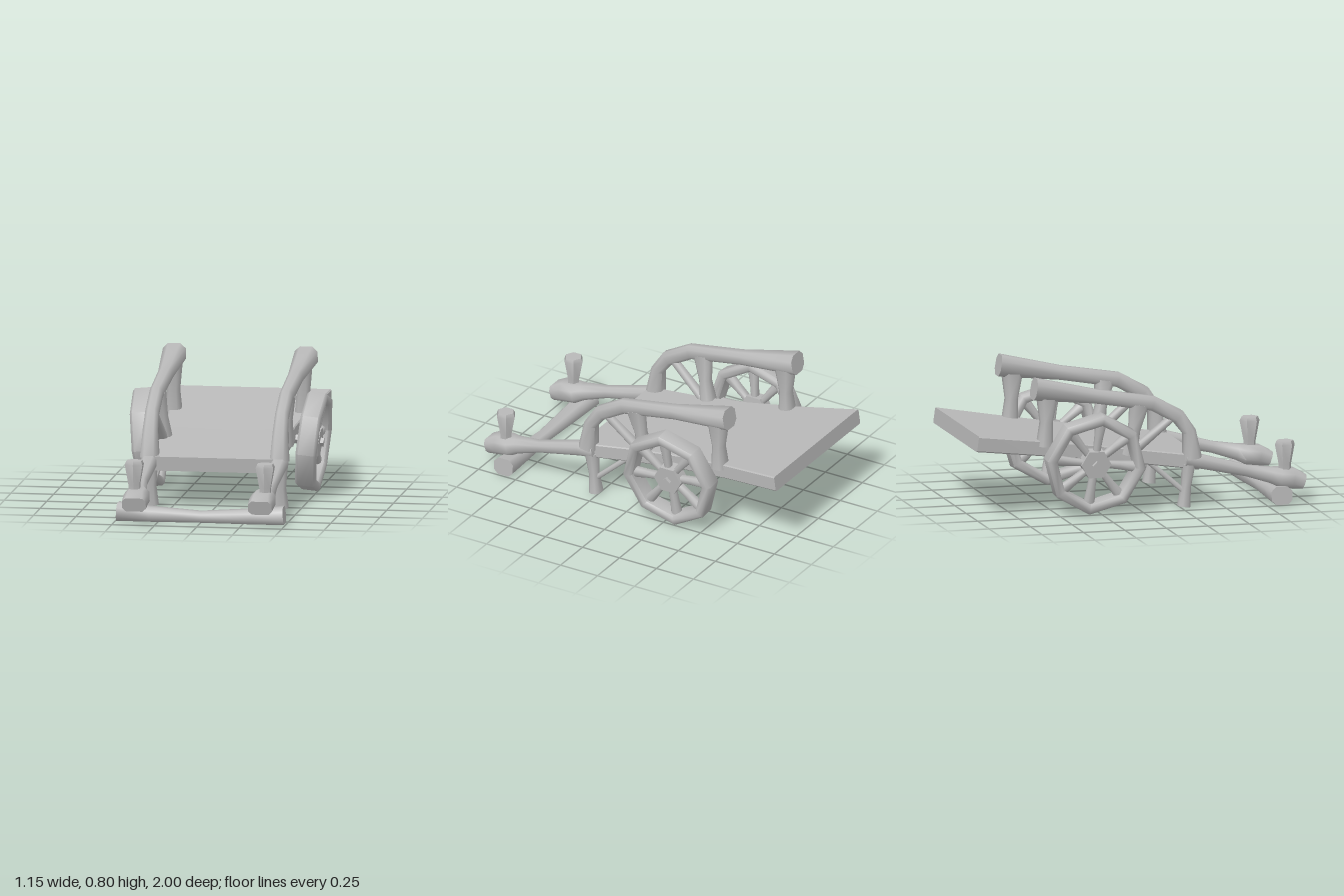
import * as THREE from 'three';
import { toCreasedNormals } from 'three/addons/utils/BufferGeometryUtils.js';

const X = new THREE.Vector3(1, 0, 0);
const Z = new THREE.Vector3(0, 0, 1);

// Beam of chamfered rectangular sections [x, y, z, width along side, height]
function beam(sections, { side = X, closed = false, chamfer = 0.5, crease = 0.9 } = {}) {
  const n = sections.length;
  const pts = sections.map((s) => new THREE.Vector3(s[0], s[1], s[2]));
  const pos = [];
  const index = [];
  for (let i = 0; i < n; i++) {
    const prev = closed ? pts[(i + n - 1) % n] : pts[Math.max(i - 1, 0)];
    const next = closed ? pts[(i + 1) % n] : pts[Math.min(i + 1, n - 1)];
    const t = next.clone().sub(prev).normalize();
    const s = side.clone().addScaledVector(t, -side.dot(t)).normalize();
    const u = t.clone().cross(s);
    const a = sections[i][3] / 2;
    const b = sections[i][4] / 2;
    const c = Math.min(a, b) * chamfer;
    const ring = [[a, c - b], [a, b - c], [a - c, b], [c - a, b], [-a, b - c], [-a, c - b], [c - a, -b], [a - c, -b]];
    for (const [p, q] of ring) {
      const v = pts[i].clone().addScaledVector(s, p).addScaledVector(u, q);
      pos.push(v.x, v.y, v.z);
    }
  }
  for (let i = 0; i < (closed ? n : n - 1); i++) {
    const r = i * 8;
    const m = ((i + 1) % n) * 8;
    for (let j = 0; j < 8; j++) {
      const k = (j + 1) % 8;
      index.push(r + j, r + k, m + k, r + j, m + k, m + j);
    }
  }
  if (!closed) {
    const e = (n - 1) * 8;
    for (let j = 1; j < 7; j++) index.push(0, j + 1, j, e, e + j, e + j + 1);
  }
  const g = new THREE.BufferGeometry();
  g.setAttribute('position', new THREE.Float32BufferAttribute(pos, 3));
  g.setIndex(index);
  return toCreasedNormals(g, crease);
}

export function createModel() {
  const grey = new THREE.MeshStandardMaterial({ color: 0xb8b8b8 });
  grey.name = 'plain grey';
  const cart = new THREE.Group();
  cart.name = 'handCart';
  const add = (parent, name, geometry) => {
    const mesh = new THREE.Mesh(geometry, grey);
    mesh.name = name;
    parent.add(mesh);
    return mesh;
  };

  // Sloping bed, flared toward the back
  add(cart, 'bed', beam([
    [0, 0.448, -0.992, 0.96, 0.092],
    [0, 0.395, -0.62, 0.83, 0.09],
    [0, 0.35, -0.3, 0.76, 0.088],
    [0, 0.305, 0.02, 0.75, 0.085],
    [0, 0.258, 0.367, 0.8, 0.085],
  ], { chamfer: 0.15, crease: 0.6 }));

  // Crossbar joining the shaft ends
  add(cart, 'crossbar', beam([
    [-0.49, 0.054, 0.838, 0.125, 0.105],
    [-0.3, 0.043, 0.84, 0.105, 0.085],
    [0, 0.034, 0.845, 0.08, 0.064],
    [0.3, 0.043, 0.84, 0.105, 0.085],
    [0.49, 0.054, 0.838, 0.125, 0.105],
  ], { side: Z }));

  for (const s of [1, -1]) {
    const half = new THREE.Group();
    half.name = s > 0 ? 'leftSide' : 'rightSide';
    cart.add(half);
    const x = 0.382 * s;

    // Pulling shaft with a wide end, and the peg on it
    add(half, 'shaft', beam([
      [x, 0.275, 0.28, 0.09, 0.08],
      [x, 0.262, 0.38, 0.09, 0.08],
      [x, 0.195, 0.65, 0.07, 0.065],
      [x * 0.98, 0.16, 0.8, 0.1, 0.09],
      [x * 0.97, 0.145, 0.85, 0.14, 0.11],
      [x * 0.97, 0.137, 0.93, 0.14, 0.115],
      [x * 0.97, 0.117, 0.993, 0.14, 0.085],
    ]));
    const profile = [[0, 0.17], [0.037, 0.17], [0.037, 0.22], [0.06, 0.34], [0.05, 0.362], [0, 0.362]];
    const peg = add(half, 'peg', toCreasedNormals(
      new THREE.LatheGeometry(profile.map((p) => new THREE.Vector2(...p)), 6), 0.6));
    peg.position.set(0.385 * s, 0, 0.883);

    // Curved side rail
    add(half, 'rail', beam([
      [x, 0.285, 0.325, 0.11, 0.105],
      [x, 0.445, 0.305, 0.085, 0.075],
      [x, 0.535, 0.24, 0.075, 0.085],
      [x, 0.622, 0.085, 0.075, 0.085],
      [x, 0.68, -0.26, 0.085, 0.08],
      [x * 1.015, 0.742, -0.63, 0.135, 0.125],
    ]));

    // Posts and brace holding the rail
    add(half, 'rearPost', beam([
      [x, 0.4, -0.565, 0.1, 0.09],
      [x, 0.54, -0.555, 0.075, 0.07],
      [x, 0.7, -0.55, 0.1, 0.12],
    ]));
    add(half, 'middlePost', beam([
      [x * 0.93, 0.32, -0.05, 0.1, 0.09],
      [x * 0.96, 0.47, -0.02, 0.07, 0.065],
      [x, 0.62, 0.005, 0.08, 0.11],
    ]));
    add(half, 'railBrace', beam([
      [x * 0.93, 0.33, -0.03, 0.055, 0.05],
      [x, 0.54, 0.215, 0.05, 0.04],
    ]));

    // Standing leg and its brace
    add(half, 'leg', beam([
      [x, 0.003, 0.274, 0.085, 0.068],
      [x, 0.12, 0.288, 0.06, 0.052],
      [x, 0.25, 0.303, 0.085, 0.07],
    ]));
    add(half, 'legBrace', beam([
      [x, 0.1, 0.265, 0.03, 0.03],
      [x * 0.9, 0.27, 0.07, 0.035, 0.03],
    ]));

    // Eight-sided wheel, leaning outward at the top
    const wheel = new THREE.Group();
    wheel.name = 'wheel';
    wheel.position.set(0.485 * s, 0.303, -0.29);
    wheel.rotation.z = -0.1 * s;
    half.add(wheel);
    const rim = [];
    for (let i = 0; i < 8; i++) {
      const a = THREE.MathUtils.degToRad(7 + i * 45);
      const at = (r) => [0, r * Math.sin(a), -r * Math.cos(a)];
      rim.push([...at(0.269), 0.12, 0.06]);
      add(wheel, 'spoke', beam([
        [...at(0.04), 0.05, 0.035],
        [...at(0.15), 0.05, 0.045],
        [...at(0.25), 0.06, 0.062],
      ]));
    }
    add(wheel, 'rim', beam(rim, { closed: true }));
    const hub = add(wheel, 'hub', toCreasedNormals(new THREE.CylinderGeometry(0.09, 0.09, 0.08, 6), 0.6));
    hub.rotation.z = Math.PI / 2;
    const axle = add(wheel, 'axle', toCreasedNormals(new THREE.CylinderGeometry(0.026, 0.026, 0.2, 4), 0.6));
    axle.rotation.z = Math.PI / 2;
    axle.position.x = -0.04 * s;
  }
  return cart;
}
